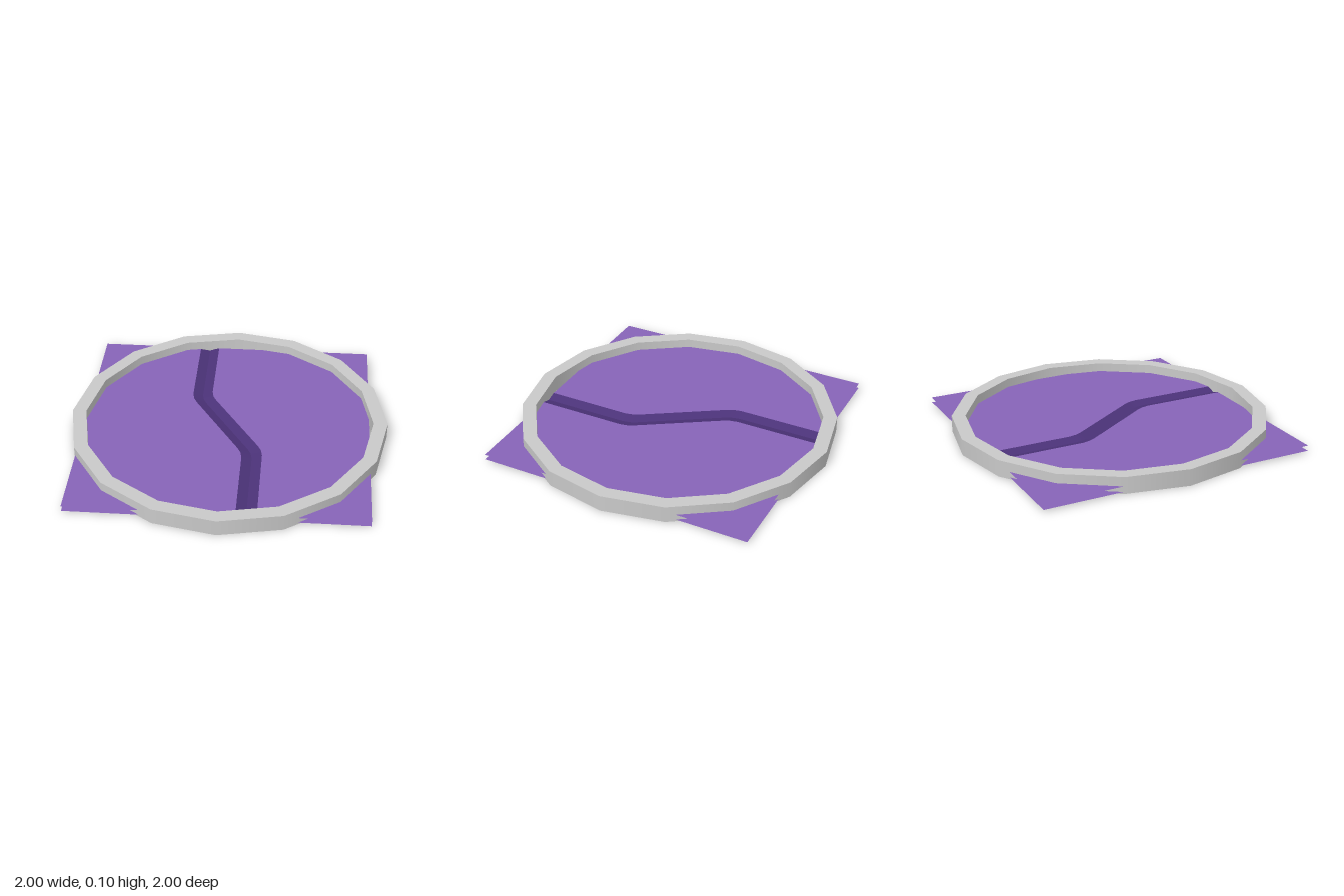
import * as THREE from 'three';

const sheetMat = new THREE.MeshStandardMaterial({ color: 0x8764b8, side: THREE.DoubleSide });
sheetMat.name = 'purple';
const grooveMat = new THREE.MeshStandardMaterial({ color: 0x4b3278, side: THREE.DoubleSide });
grooveMat.name = 'dark purple';
const ringMat = new THREE.MeshStandardMaterial({ color: 0xc9c9c9, side: THREE.DoubleSide });
ringMat.name = 'light grey';

// Left and right banks of the winding groove, as [x, z] from back to front
const leftBank = [[-0.26, -0.88], [-0.26, -0.32], [-0.25, -0.27], [-0.23, -0.23],
  [0.07, 0.24], [0.09, 0.28], [0.10, 0.33], [0.10, 0.87]];
const rightBank = [[-0.135, -0.88], [-0.135, -0.35], [-0.125, -0.30], [-0.105, -0.26],
  [0.195, 0.21], [0.215, 0.25], [0.225, 0.30], [0.225, 0.87]];
const middle = leftBank.map(([x, z], i) => [(x + rightBank[i][0]) / 2, (z + rightBank[i][1]) / 2]);
const leftEdge = leftBank.map(([, z]) => [-0.92, z]);
const rightEdge = rightBank.map(([, z]) => [0.89, z]);

const at = (line, y) => line.map(([x, z]) => [x, y, z]);

// Band of quads between two lines; faces up when a is left of b
function band(a, b) {
  const index = [];
  for (let i = 0; i < a.length - 1; i++) {
    const p = i, q = a.length + i;
    index.push(p, p + 1, q + 1, p, q + 1, q);
  }
  const geo = new THREE.BufferGeometry();
  geo.setAttribute('position', new THREE.Float32BufferAttribute([...a, ...b].flat(), 3));
  geo.setIndex(index);
  geo.computeVertexNormals();
  return geo;
}

export function createModel() {
  const model = new THREE.Group();
  model.name = 'ringedTile';
  const add = (name, geo, mat) => {
    const mesh = new THREE.Mesh(geo, mat);
    mesh.name = name;
    model.add(mesh);
  };

  // Upper sheet with a dark V-shaped groove
  const top = 0.046, topLow = 0.028;
  add('upperSheetLeft', band(at(leftEdge, top), at(leftBank, top)), sheetMat);
  add('grooveLeftSlope', band(at(leftBank, top), at(middle, topLow)), grooveMat);
  add('grooveRightSlope', band(at(middle, topLow), at(rightBank, top)), grooveMat);
  add('upperSheetRight', band(at(rightBank, top), at(rightEdge, top)), sheetMat);

  // Lower sheet follows the same fold, facing down
  const base = 0.012, baseLow = 0.001;
  const lower = [at(leftEdge, base), at(leftBank, base), at(middle, baseLow),
    at(rightBank, base), at(rightEdge, base)];
  for (let i = 0; i < 4; i++) add('lowerSheet' + (i + 1), band(lower[i + 1], lower[i]), sheetMat);

  // Sixteen-sided ring, open underneath: outer wall, top and inner wall
  const profile = [[1, 0], [1, 0.104], [0.913, 0.104], [0.913, 0]].map(p => new THREE.Vector2(...p));
  ['ringOuterWall', 'ringTop', 'ringInnerWall'].forEach((name, i) =>
    add(name, new THREE.LatheGeometry(profile.slice(i, i + 2), 16), ringMat));

  return model;
}
